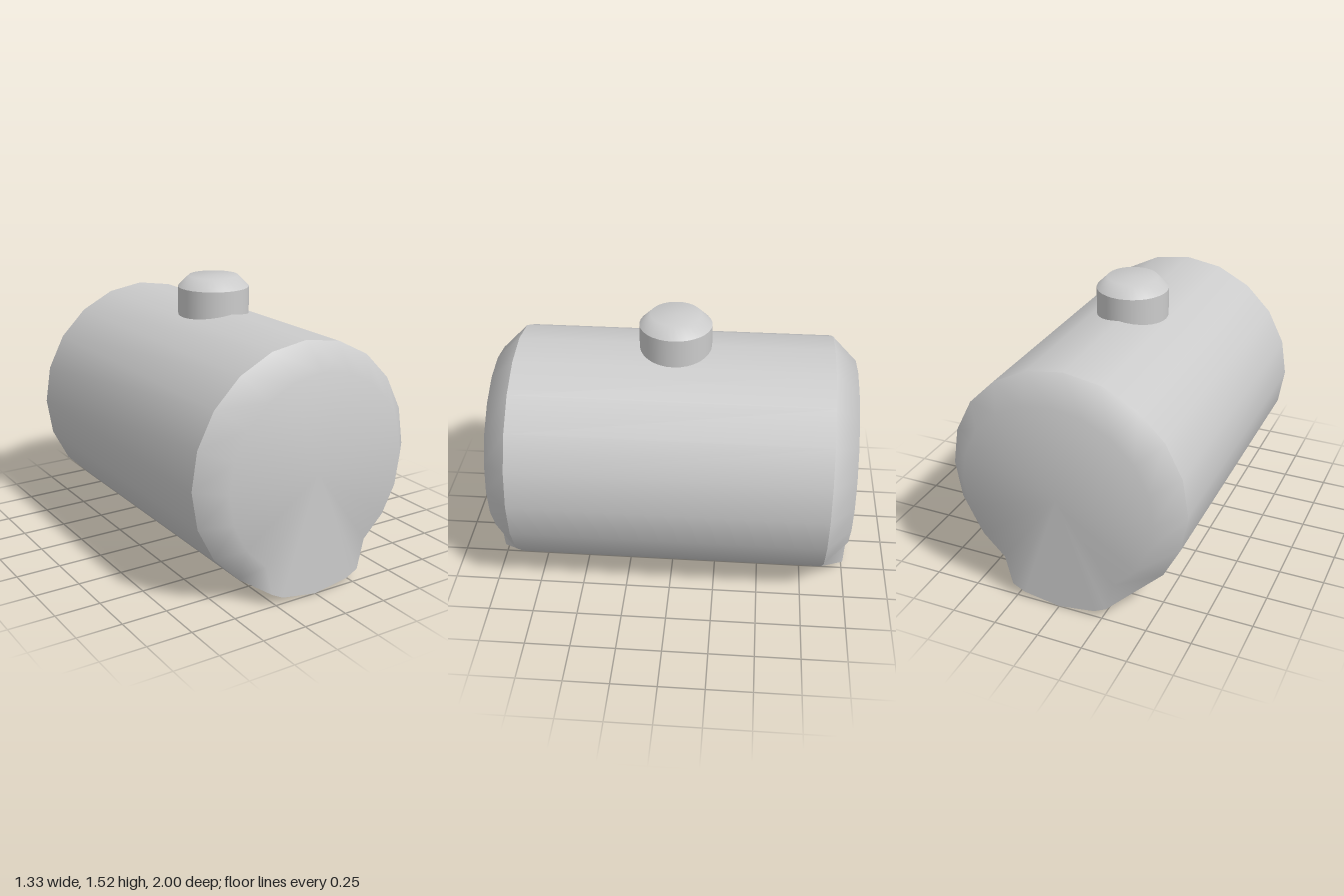
import * as THREE from 'three';

const R = 0.667, INNER = 0.535, SIDES = 20;
const Z_END = 1, Z_RIM = 0.866;

// Outline of the drum, counterclockwise from the bottom. The lowest facets
// run out to the full length as a foot; all others stop at the chamfer.
function drumOutline() {
  const at = (k, r) => {
    const a = (k / SIDES) * Math.PI * 2;
    return new THREE.Vector2(Math.sin(a) * r, -Math.cos(a) * r);
  };
  const points = [];
  for (let k = 0; k < SIDES; k++) {
    const foot = k <= 1 || k === SIDES - 1;
    points.push({ outer: at(k, R), inner: at(k, foot ? R : INNER), foot });
    // the foot ends part of the way along the next facet
    if (k === 1 || k === SIDES - 2) {
      const p = at(k, R).lerp(at(k + 1, R), k === 1 ? 0.37 : 0.63);
      points.push({ outer: p, inner: p, foot: true });
    }
  }
  return points;
}

function buildGeometry(positions, index, normals) {
  const geometry = new THREE.BufferGeometry();
  geometry.setAttribute('position', new THREE.Float32BufferAttribute(positions, 3));
  geometry.setIndex(index);
  if (normals) geometry.setAttribute('normal', new THREE.Float32BufferAttribute(normals, 3));
  else geometry.computeVertexNormals();
  return geometry;
}

// Smooth side wall between the two rims
function barrelGeometry(outline) {
  const positions = [], normals = [], index = [];
  const n = outline.length;
  outline.forEach(({ outer, foot }, i) => {
    const z = foot ? Z_END : Z_RIM;
    const d = outer.clone().normalize();
    positions.push(outer.x, outer.y, z, outer.x, outer.y, -z);
    normals.push(d.x, d.y, 0, d.x, d.y, 0);
    const a = i * 2, b = ((i + 1) % n) * 2;
    index.push(a, a + 1, b + 1, a, b + 1, b);
  });
  return buildGeometry(positions, index, normals);
}

// Chamfer ring and end face, sharing vertices so the shading is smooth
function endGeometry(outline) {
  const positions = [0, 0, Z_END], index = [];
  const n = outline.length;
  outline.forEach(({ outer, inner, foot }) => {
    positions.push(inner.x, inner.y, Z_END);
    positions.push(outer.x, outer.y, foot ? Z_END : Z_RIM);
  });
  const innerId = (i) => 1 + (i % n) * 2;
  const outerId = (i) => (outline[i % n].foot ? innerId(i) : innerId(i) + 1);
  const addFace = (a, b, c) => {
    if (a !== b && b !== c && a !== c) index.push(a, b, c);
  };
  for (let i = 0; i < n; i++) {
    addFace(0, innerId(i), innerId(i + 1));
    addFace(innerId(i), outerId(i), outerId(i + 1));
    addFace(innerId(i), outerId(i + 1), innerId(i + 1));
  }
  return buildGeometry(positions, index);
}

export function createModel() {
  const model = new THREE.Group();
  model.name = 'tank';
  const material = new THREE.MeshStandardMaterial({ color: 0xcccccc });
  const add = (name, geometry, y) => {
    const mesh = new THREE.Mesh(geometry, material);
    mesh.name = name;
    mesh.position.y = y;
    model.add(mesh);
    return mesh;
  };

  // Horizontal drum with two chamfered ends
  const outline = drumOutline();
  add('barrel', barrelGeometry(outline), R);
  const end = endGeometry(outline);
  add('frontEnd', end, R);
  add('backEnd', end, R).rotation.y = Math.PI;

  // Filler neck, sunk slightly into the drum
  add('fillerNeck', new THREE.CylinderGeometry(0.198, 0.198, 0.2, 32, 1, true), 1.36);

  // Filler cap: bevel and flat top share one smooth surface
  const cap = new THREE.LatheGeometry(
    [[0.198, 0], [0.138, 0.06], [0, 0.06]].map(([x, y]) => new THREE.Vector2(x, y)), 32);
  add('fillerCap', cap, 1.46);

  return model;
}
